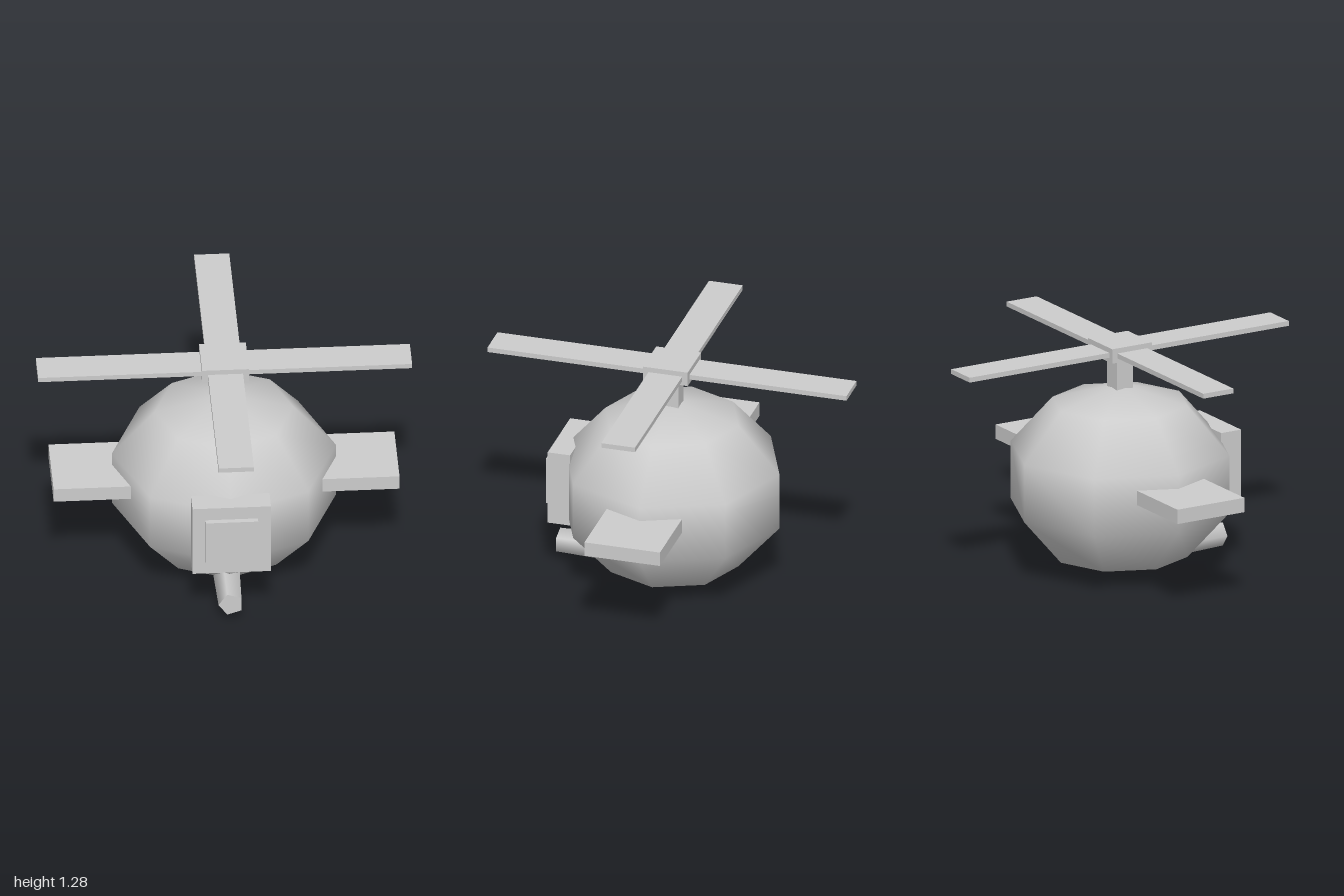
import * as THREE from 'three';

export function createModel() {
  const model = new THREE.Group();
  model.name = 'roundHelicopter';

  const lightGrey = new THREE.MeshStandardMaterial({ color: 0xcccccc });
  lightGrey.name = 'lightGrey';

  function add(name, geometry, x = 0, y = 0, z = 0) {
    const mesh = new THREE.Mesh(geometry, lightGrey);
    mesh.name = name;
    mesh.position.set(x, y, z);
    model.add(mesh);
    return mesh;
  }

  // Box given by its lower and upper limits on each axis
  function box(name, [x0, x1], [y0, y1], [z0, z1]) {
    return add(name, new THREE.BoxGeometry(x1 - x0, y1 - y0, z1 - z0),
      (x0 + x1) / 2, (y0 + y1) / 2, (z0 + z1) / 2);
  }

  // Squashed eight-sided ball body, smooth shaded
  const body = new THREE.SphereGeometry(0.63, 8, 5);
  body.scale(1, 0.52 / 0.63, 1);
  add('body', body, 0, 0.523, 0);

  // Front window frame and pane
  box('windowFrame', [-0.21, 0.21], [0.32, 0.74], [0.505, 0.63]);
  box('windowPane', [-0.14, 0.14], [0.4, 0.665], [0.55, 0.66]);

  // Side wings
  box('leftWing', [0.4, 0.925], [0.53, 0.61], [-0.21, 0.21]);
  box('rightWing', [-0.925, -0.4], [0.53, 0.61], [-0.21, 0.21]);

  // Rotor mast, hub and crossed blades
  box('mast', [-0.05, 0.05], [0.95, 1.21], [-0.05, 0.05]);
  box('hub', [-0.125, 0.125], [1.205, 1.285], [-0.125, 0.125]);
  box('sideBlades', [-1, 1], [1.23, 1.257], [-0.094, 0.094]);
  box('foreAftBlades', [-0.094, 0.094], [1.23, 1.257], [-1, 1]);

  // Five-sided tapering barrel under the nose
  const barrel = new THREE.CylinderGeometry(0.068, 0.083, 0.46, 5);
  barrel.rotateX(Math.PI / 2);
  barrel.rotateZ(-Math.PI / 10);
  add('barrel', barrel, -0.003, 0.111, 0.4);

  return model;
}
